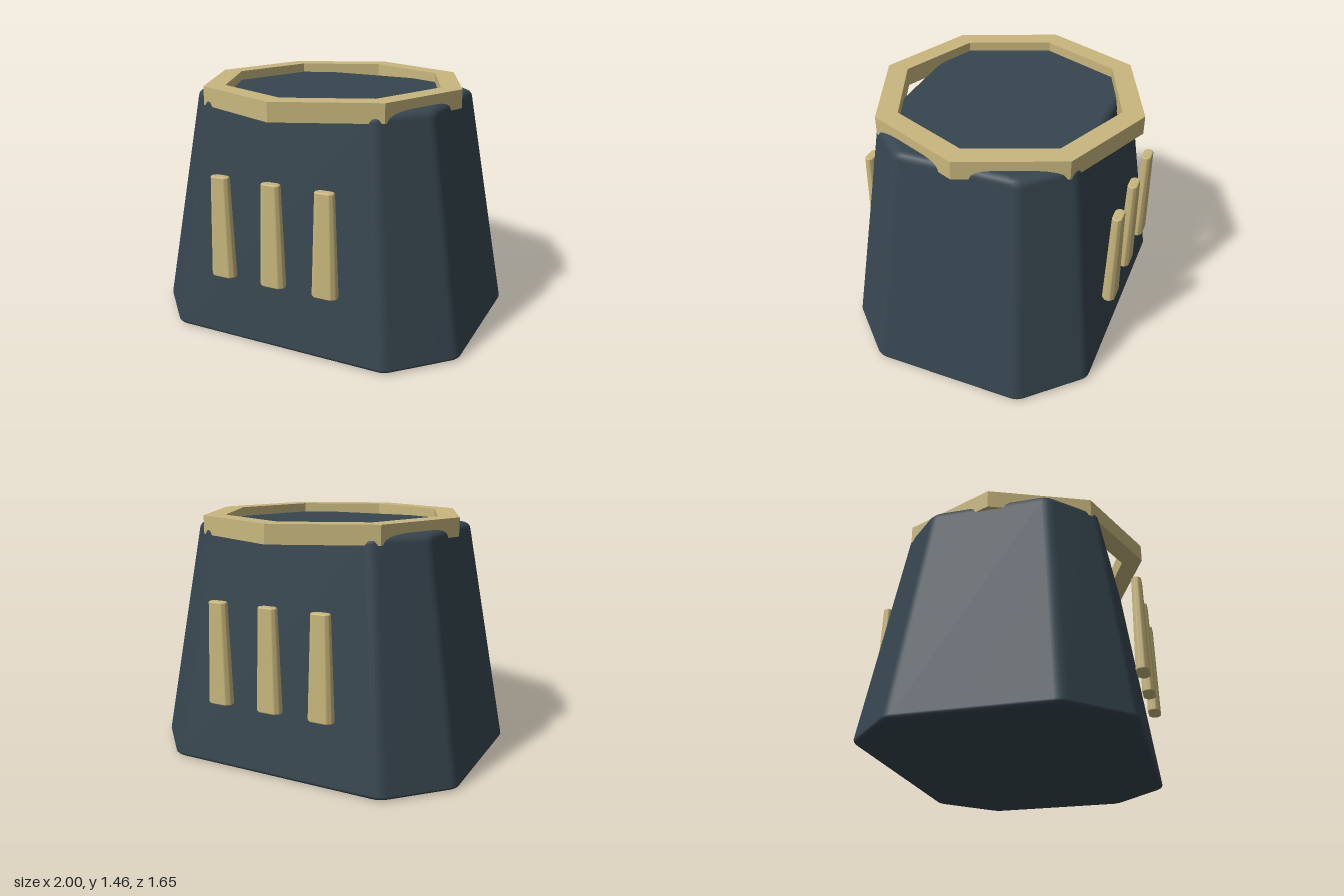
import * as THREE from 'three';

// Eight-sided outline (half sizes hx, hz; chamfers start at cx, cz) with softened corners.
function outline(hx, hz, cx, cz, soft) {
  const corners = [];
  for (const [sx, sz] of [[1, 1], [-1, 1], [-1, -1], [1, -1]]) {
    const pair = [new THREE.Vector2(sx * hx, sz * cz), new THREE.Vector2(sx * cx, sz * hz)];
    corners.push(...(sx * sz > 0 ? pair : pair.reverse()));
  }
  const points = [];
  corners.forEach((c, i) => {
    const toward = (o) => c.clone().add(o.clone().sub(c).setLength(soft));
    const curve = new THREE.QuadraticBezierCurve(
      toward(corners[(i + 7) % 8]), c, toward(corners[(i + 1) % 8]));
    points.push(...curve.getPoints(4));
  });
  return points;
}

// Closed loft through layers of [y, hx, hz, cx, cz], listed bottom to top.
function loft(layers, soft) {
  const pos = [], index = [];
  let n = 0;
  for (const [y, ...size] of layers) {
    const ring = outline(...size, soft);
    n = ring.length;
    ring.forEach((p) => pos.push(p.x, y, p.y));
  }
  const last = layers.length - 1;
  const bottom = n * layers.length, top = bottom + 1;
  pos.push(0, layers[0][0], 0, 0, layers[last][0], 0);
  for (let j = 0; j < n; j++) {
    const k = (j + 1) % n;
    for (let i = 0; i < last; i++) {
      const a = i * n + j, b = a + n, c = i * n + k, d = c + n;
      index.push(a, b, c, c, b, d);
    }
    index.push(bottom, j, k, top, last * n + k, last * n + j);
  }
  const geometry = new THREE.BufferGeometry();
  geometry.setAttribute('position', new THREE.Float32BufferAttribute(pos, 3));
  geometry.setIndex(index);
  geometry.computeVertexNormals();
  return geometry;
}

// Tapered block with rounded bottom and top rims.
function taperedBlock(y0, y1, base, crown, rim0, rim1, soft) {
  const layers = [];
  const add = (y, size, inset) => layers.push([y, ...size.map((s) => s - inset)]);
  const steps = 4;
  for (let i = 0; i <= steps; i++) {
    const a = (i / steps) * Math.PI / 2;
    add(y0 + rim0 * (1 - Math.sin(a)), base, rim0 * (1 - Math.cos(a)));
  }
  layers.reverse(); // lowest, most inset layer first
  for (let i = 0; i <= steps; i++) {
    const a = (i / steps) * Math.PI / 2;
    add(y1 - rim1 * (1 - Math.sin(a)), crown, rim1 * (1 - Math.cos(a)));
  }
  layers.sort((p, q) => p[0] - q[0]);
  return loft(layers, soft);
}

// Octagon path with a corner on the x axis.
function octagon(target, radius) {
  const points = [];
  for (let i = 0; i < 8; i++) {
    const a = i * Math.PI / 4;
    points.push(new THREE.Vector2(radius * Math.cos(a), radius * Math.sin(a)));
  }
  return target.setFromPoints(points);
}

export function createModel() {
  const model = new THREE.Group();
  const charcoal = new THREE.MeshStandardMaterial({ color: 0x36454f });
  charcoal.name = 'charcoal';
  const gold = new THREE.MeshStandardMaterial({ color: 0xc9b77d });
  gold.name = 'paleGold';

  // Main tapered body
  const body = new THREE.Mesh(taperedBlock(0, 1.4,
    [1.0, 0.782, 0.685, 0.455], [0.77, 0.602, 0.53, 0.355], 0.025, 0.045, 0.04), charcoal);
  body.name = 'body';
  model.add(body);

  // Octagonal collar around the top
  const shape = octagon(new THREE.Shape(), 0.807);
  shape.holes.push(octagon(new THREE.Path(), 0.677));
  const collarGeometry = new THREE.ExtrudeGeometry(shape, { depth: 0.11, bevelEnabled: false });
  collarGeometry.rotateX(-Math.PI / 2);
  const collar = new THREE.Mesh(collarGeometry, gold);
  collar.name = 'collar';
  collar.position.y = 1.347;
  model.add(collar);

  // Three upright bars on the front and on the back
  const barGeometry = taperedBlock(0.4, 1.005,
    [0.076, 0.038, 0.052, 0.016], [0.057, 0.029, 0.039, 0.012], 0.008, 0.008, 0.006);
  for (const side of [1, -1]) {
    const bars = new THREE.Group();
    bars.name = side > 0 ? 'frontBars' : 'backBars';
    for (const x of [-0.328, 0, 0.328]) {
      const bar = new THREE.Mesh(barGeometry, gold);
      bar.name = 'bar';
      bar.position.set(x, 0, side * 0.789);
      bars.add(bar);
    }
    model.add(bars);
  }
  return model;
}
